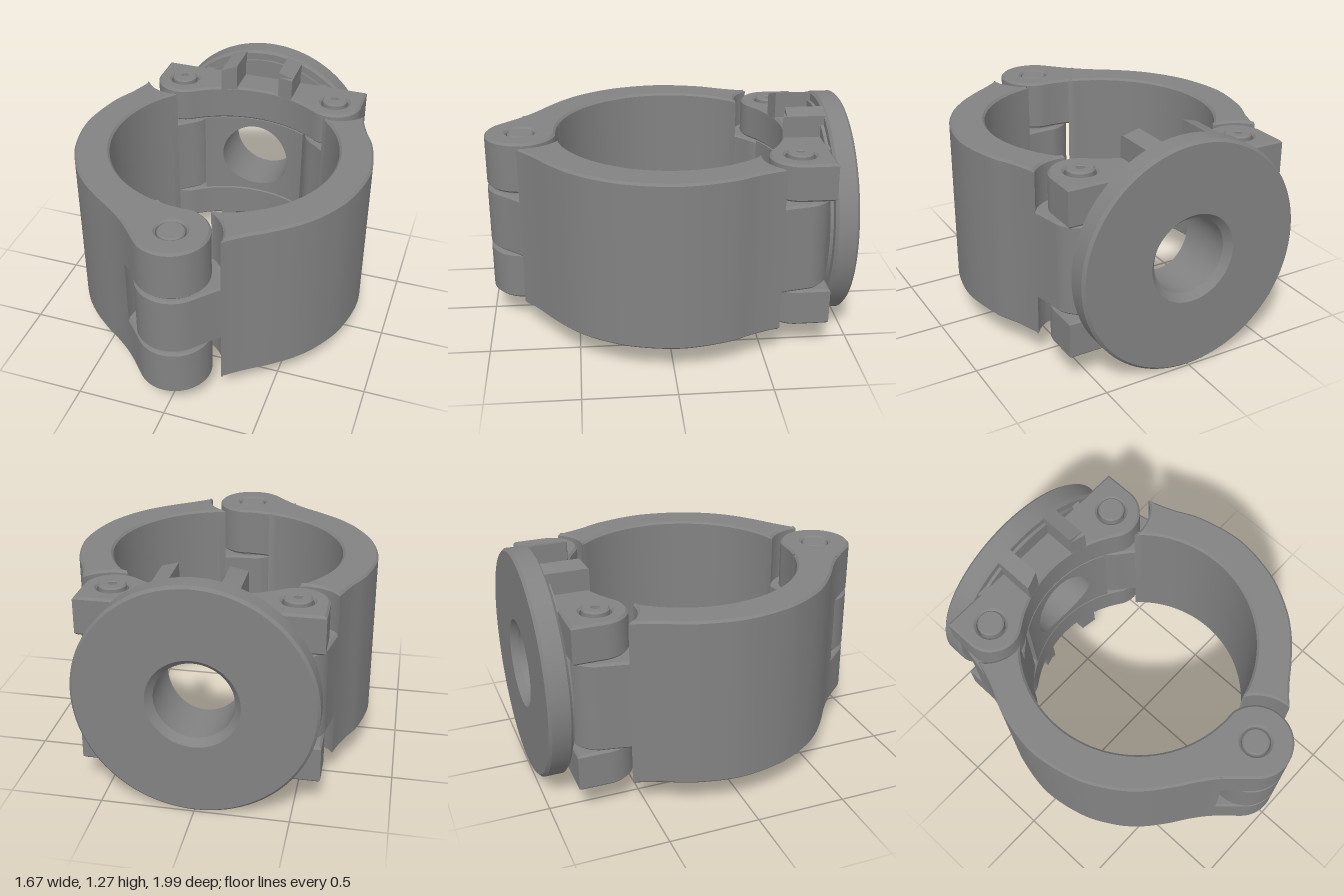
import * as THREE from 'three';
import { toCreasedNormals } from 'three/addons/utils/BufferGeometryUtils.js';

// Plan coordinates are [x, s] with s = -z.
const BORE = [0, 0.04], BORE_R = 0.64, HINGE = [0, -0.795], PIN = [0.475, 0.69];
const Y0 = 0.168, Y1 = 1.11, MID = 0.64;
const LUG_TIP = [0.378, 0.5565]; // where the lugs and rear knuckles meet the bore
const material = new THREE.MeshStandardMaterial({ color: 0x828282 });

const boreS = (x) => BORE[1] + Math.sqrt(BORE_R * BORE_R - x * x);
const mirror = (pts) => pts.map(([x, s]) => [-x, s]);

// Arc around c from p0 to p1
function arc(c, p0, p1, dir = 1, n = 24) {
  const a0 = Math.atan2(p0[1] - c[1], p0[0] - c[0]);
  let a1 = Math.atan2(p1[1] - c[1], p1[0] - c[0]);
  if (dir > 0 && a1 < a0) a1 += Math.PI * 2;
  if (dir < 0 && a1 > a0) a1 -= Math.PI * 2;
  const r0 = Math.hypot(p0[0] - c[0], p0[1] - c[1]);
  const r1 = Math.hypot(p1[0] - c[0], p1[1] - c[1]);
  return Array.from({ length: n + 1 }, (_, i) => {
    const t = i / n, a = a0 + (a1 - a0) * t, r = r0 + (r1 - r0) * t;
    return [c[0] + r * Math.cos(a), c[1] + r * Math.sin(a)];
  });
}

const circle = ([x, s], r, n = 32) => Array.from({ length: n }, (_, i) => {
  const a = Math.PI / 2 - (i / n) * Math.PI * 2;
  return [x + r * Math.cos(a), s + r * Math.sin(a)];
});

const vectors = (pts) => pts.map((p) => new THREE.Vector2(...p));

function mesh(name, geometry) {
  const m = new THREE.Mesh(geometry, material);
  m.name = name;
  return m;
}

// Upright chamfered slab from a plan outline, with optional holes
function slab(name, pts, y0, y1, holes = [], b = 0.012) {
  const clean = pts.filter((p, i) => {
    const q = pts[(i + 1) % pts.length];
    return Math.hypot(p[0] - q[0], p[1] - q[1]) > 1e-4;
  });
  const shape = new THREE.Shape(vectors(clean));
  for (const hole of holes) shape.holes.push(new THREE.Path(vectors(hole)));
  const g = new THREE.ExtrudeGeometry(shape, {
    depth: y1 - y0 - 2 * b, bevelEnabled: true, bevelThickness: b,
    bevelSize: b, bevelOffset: -b, bevelSegments: 1,
  });
  g.rotateX(-Math.PI / 2).translate(0, y0 + b, 0);
  return mesh(name, toCreasedNormals(g, 0.5));
}

// Outer contour of one arm, from the hinge to the rear pin
const OUTER = new THREE.SplineCurve(vectors([
  [0.149, -0.928], [0.262, -0.805], [0.36, -0.722], [0.48, -0.637], [0.6, -0.535], [0.7, -0.41],
  [0.79, -0.225], [0.833, 0.03], [0.79, 0.28], [0.72, 0.44], [0.672, 0.583], [0.637, 0.75],
])).getPoints(88).map((p) => [p.x, p.y]);

function arm(name, side, hingeRanges) {
  const g = new THREE.Group();
  g.name = name;
  const flip = (pts) => (side < 0 ? mirror(pts) : pts);
  const h = [0.137, -0.585], p = [0.454, 0.491], k = [-0.039, -0.599];

  // Curved body with hollowed ends that clear the hinge and rear lugs
  g.add(slab('armBody', flip([
    ...arc(BORE, h, p, 1, 64),
    ...arc(PIN, p, OUTER[80]),
    ...OUTER.slice(8, 81).reverse(),
    ...arc(HINGE, OUTER[8], h),
  ]), Y0, Y1));

  // Hinge knuckles
  const knuckle = flip([
    ...arc(BORE, k, [0.22, -0.561], 1, 16),
    ...OUTER.slice(0, 17).reverse(),
    ...arc(HINGE, OUTER[0], k, -1, 36),
  ]);
  for (const [a, b] of hingeRanges) g.add(slab('hingeKnuckle', knuckle, a, b, [circle(HINGE, 0.08)]));

  // Rear knuckle held between the lugs of the mount
  g.add(slab('rearKnuckle', flip([
    ...OUTER.slice(72),
    ...arc(PIN, OUTER[88], LUG_TIP),
    ...arc(BORE, LUG_TIP, [0.51, 0.4266], -1, 12),
  ]), 0.388, 0.89));
  return g;
}

// Centre of the mount: bore wall at the front, round tunnel through it
function saddle() {
  const W = 0.312, H = 0.26, R = 0.21, N = 16, rings = [];
  const corners = [[W, -H], [W, H], [-W, H], [-W, -H]];
  const rim = [];
  corners.forEach((c, k) => {
    const d = corners[(k + 1) % 4];
    for (let i = 0; i < N; i++) rim.push([c[0] + (d[0] - c[0]) * i / N, c[1] + (d[1] - c[1]) * i / N]);
  });
  const ring = (v, back) => rim.map(([x, y]) => {
    const k = R / Math.hypot(x, y);
    const px = x * (k + (1 - k) * v), py = y * (k + (1 - k) * v);
    return [px, MID + py, back ? -0.885 : -boreS(px)];
  });
  rings.push(ring(0, true));
  for (let i = 0; i <= 6; i++) rings.push(ring(i / 6, false));
  rings.push(ring(1, true));
  const n = rim.length, index = [];
  for (let i = 0; i < rings.length - 1; i++) {
    for (let j = 0; j < n; j++) {
      const a = i * n + j, b = i * n + (j + 1) % n;
      index.push(a, a + n, b + n, a, b + n, b);
    }
  }
  const g = new THREE.BufferGeometry();
  g.setAttribute('position', new THREE.Float32BufferAttribute(rings.flat(2), 3));
  g.setIndex(index);
  return mesh('saddle', toCreasedNormals(g, 0.5));
}

// Rib above or below the lug plates, trimmed to the flange edge and to the bore
function rib(side, up) {
  const lo = 0.4, hi = 0.62, f = 0.63, c = 0.035;
  const shape = new THREE.Shape(vectors([
    [0.89, lo], [0.89, hi], [f + c, hi], [f, hi - c], [f, lo],
  ].map(([s, o]) => [s, MID + up * o])));
  const g = new THREE.ExtrudeGeometry(shape, { depth: 0.09, bevelEnabled: false });
  g.rotateY(Math.PI / 2).translate(side > 0 ? 0.13 : -0.22, 0, 0);
  const pos = g.attributes.position;
  for (let i = 0; i < pos.count; i++) {
    const x = pos.getX(i), lim = Math.sqrt(0.63 ** 2 - x * x);
    pos.setY(i, MID + THREE.MathUtils.clamp(pos.getY(i) - MID, -lim, lim));
    pos.setZ(i, Math.min(pos.getZ(i), -boreS(x) - 0.002));
  }
  return mesh('rib', toCreasedNormals(g, 0.3));
}

function mount() {
  const g = new THREE.Group();
  g.name = 'mount';

  // Round flange with a shallow boss and a countersunk hole
  const profile = vectors([
    [0.21, 0.852], [0.58, 0.852], [0.58, 0.87], [0.62, 0.87], [0.635, 0.885], [0.635, 0.985],
    [0.62, 1], [0.245, 1], [0.21, 0.96], [0.21, 0.852],
  ]);
  const disc = new THREE.LatheGeometry(profile, 96).rotateX(-Math.PI / 2).translate(0, MID, 0);
  g.add(mesh('flange', toCreasedNormals(disc, 0.5)));

  // Upper and lower lug plates
  const half = [...arc(PIN, LUG_TIP, [0.635, 0.69]), [0.635, 0.862], [0.4, 0.862], [0.4, 0.888]];
  const plate = [
    ...arc(BORE, [-LUG_TIP[0], LUG_TIP[1]], LUG_TIP, -1, 32), ...half, ...mirror(half).reverse(),
  ];
  const hole = circle(PIN, 0.082);
  for (const [y0, y1] of [[Y0, 0.38], [0.9, Y1]]) {
    g.add(slab('lugPlate', plate, y0, y1, [hole, mirror(hole)]));
  }

  g.add(saddle());
  for (const side of [1, -1]) for (const up of [1, -1]) g.add(rib(side, up));
  return g;
}

// Screw with a hexagonal socket at both ends
function screw(side) {
  const g = new THREE.Group();
  g.name = 'screw';
  const c = [side * PIN[0], PIN[1]];
  for (const [y0, y1] of [[0.152, 0.22], [1.065, 1.127]]) {
    g.add(slab('screwHead', circle(c, 0.073), y0, y1, [circle(c, 0.036, 6)], 0.008));
  }
  const shank = new THREE.CylinderGeometry(0.07, 0.07, 0.89, 32).translate(c[0], MID, -c[1]);
  g.add(mesh('screwShank', shank));
  return g;
}

export function createModel() {
  const model = new THREE.Group();
  model.name = 'hingedPipeClamp';
  model.add(
    arm('leftArm', 1, [[0.46, 0.808]]),
    arm('rightArm', -1, [[Y0, 0.447], [0.821, Y1]]),
    mount(), screw(1), screw(-1),
  );

  // Hinge pin and the washers between the knuckles
  model.add(slab('hingePin', circle(HINGE, 0.073), Y0 + 0.003, Y1 - 0.003, [], 0.008));
  for (const y of [0.4535, 0.8145]) {
    model.add(slab('hingeWasher', circle(HINGE, 0.17), y - 0.012, y + 0.012, [], 0.002));
  }
  return model;
}
